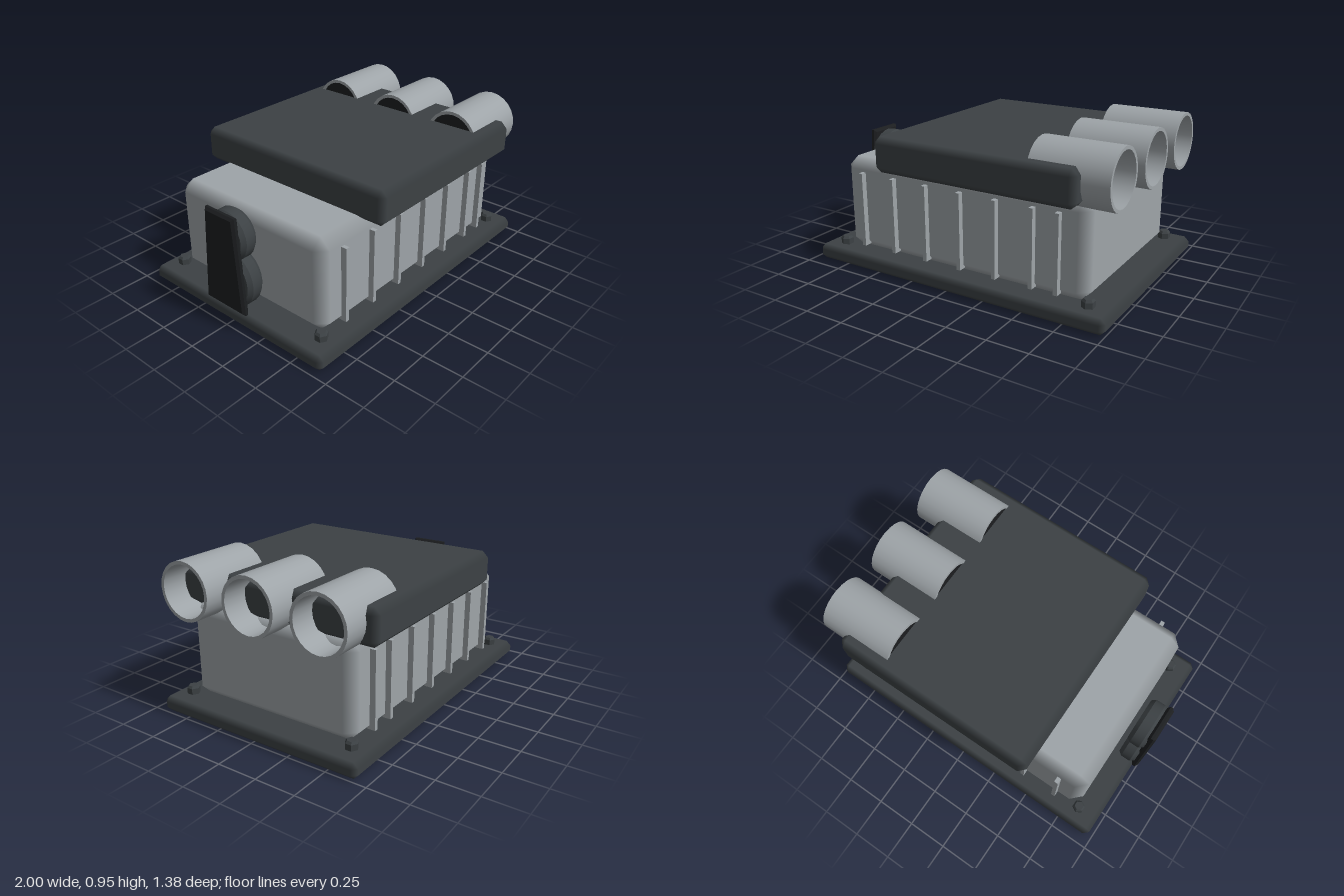
import * as THREE from 'three';
import { ConvexGeometry } from 'three/addons/geometries/ConvexGeometry.js';
import { toCreasedNormals } from 'three/addons/utils/BufferGeometryUtils.js';

const material = (color) => new THREE.MeshStandardMaterial({ color });

// Box with one chamfer per edge; normals blend softly across the chamfers
function chamferBox(w, h, d, c) {
  const half = [w / 2, h / 2, d / 2];
  const points = [];
  for (let axis = 0; axis < 3; axis++)
    for (const sx of [-1, 1]) for (const sy of [-1, 1]) for (const sz of [-1, 1]) {
      const s = [sx, sy, sz];
      points.push(new THREE.Vector3(...half.map((v, i) => s[i] * (i === axis ? v : v - c))));
    }
  const geometry = new ConvexGeometry(points);
  const { position, normal } = geometry.attributes;
  for (let i = 0; i < position.count; i++) {
    const p = [position.getX(i), position.getY(i), position.getZ(i)];
    normal.setXYZ(i, ...p.map((v, k) => (Math.abs(Math.abs(v) - half[k]) < 1e-4 ? Math.sign(v) : 0)));
  }
  return geometry;
}

// Turned part from [radius, height] pairs, with crisp rims
function turned(profile, sides, crease = 0.5) {
  const points = profile.map(([r, y]) => new THREE.Vector2(r, y));
  return toCreasedNormals(new THREE.LatheGeometry(points, sides), crease);
}

export function createModel() {
  const model = new THREE.Group();
  model.name = 'model';
  const light = material(0x9ea4a8);
  const dark = material(0x3c4144);
  const black = material(0x1c1e20);

  function add(name, geometry, mat, x, y, z) {
    const mesh = new THREE.Mesh(geometry, mat);
    mesh.name = name;
    mesh.position.set(x, y, z);
    model.add(mesh);
  }

  // Main slabs
  add('basePlate', chamferBox(1.97, 0.095, 1.37, 0.03), dark, 0.015, 0.0475, 0);
  add('body', chamferBox(1.67, 0.583, 1.14, 0.065), light, 0.015, 0.3765, 0);
  add('lid', chamferBox(1.3, 0.215, 1.38, 0.038), dark, 0.17, 0.7525, 0);

  // Side ribs
  const rib = new THREE.BoxGeometry(0.025, 0.465, 0.05);
  for (const x of [-0.655, -0.42, -0.185, 0.055, 0.29, 0.525, 0.68])
    for (const side of [-1, 1]) add('rib', rib, light, x, 0.3575, side * 0.58);

  // Hexagonal corner bolts
  const bolt = turned([[0, 0], [0.039, 0], [0.039, 0.038], [0.028, 0.052], [0, 0.052]], 6, 0.3);
  for (const x of [-0.83, 0.86])
    for (const side of [-1, 1]) add('bolt', bolt, dark, x, 0.093, side * 0.57);

  // Outlet pipes with a dark plug at the inner end
  const pipe = turned([[0.175, 0], [0.175, 0.47], [0.155, 0.47], [0.155, 0], [0.175, 0]], 24);
  const plug = new THREE.CylinderGeometry(0.157, 0.157, 0.02, 24);
  for (const geometry of [pipe, plug]) geometry.rotateZ(-Math.PI / 2);
  for (const z of [-0.455, 0, 0.455]) {
    add('outletPipe', pipe, light, 0.51, 0.78, z);
    add('pipePlug', plug, black, 0.525, 0.78, z);
  }

  // Pair of pulleys at the end
  for (const [r, y] of [[0.15, 0.56], [0.18, 0.295]]) {
    const pulley = turned([[0, 0], [r - 0.02, 0], [r, 0.025], [r, 0.085], [r - 0.02, 0.11], [0, 0.11]], 24);
    add('pulley', pulley.rotateZ(-Math.PI / 2), dark, -0.965, y, 0);
  }

  // Tapered cover plate over the pulleys
  const outline = new THREE.Shape([[-0.14, 0.14], [0.14, 0.14], [0.1, 0.705], [-0.1, 0.705]]
    .map(([z, y]) => new THREE.Vector2(z, y)));
  const cover = new THREE.ExtrudeGeometry(outline, {
    depth: 0.016, bevelEnabled: true, bevelSize: 0.015, bevelThickness: 0.014, bevelSegments: 1,
  });
  add('pulleyCover', cover.rotateY(-Math.PI / 2), black, -0.97, 0, 0);
  return model;
}
